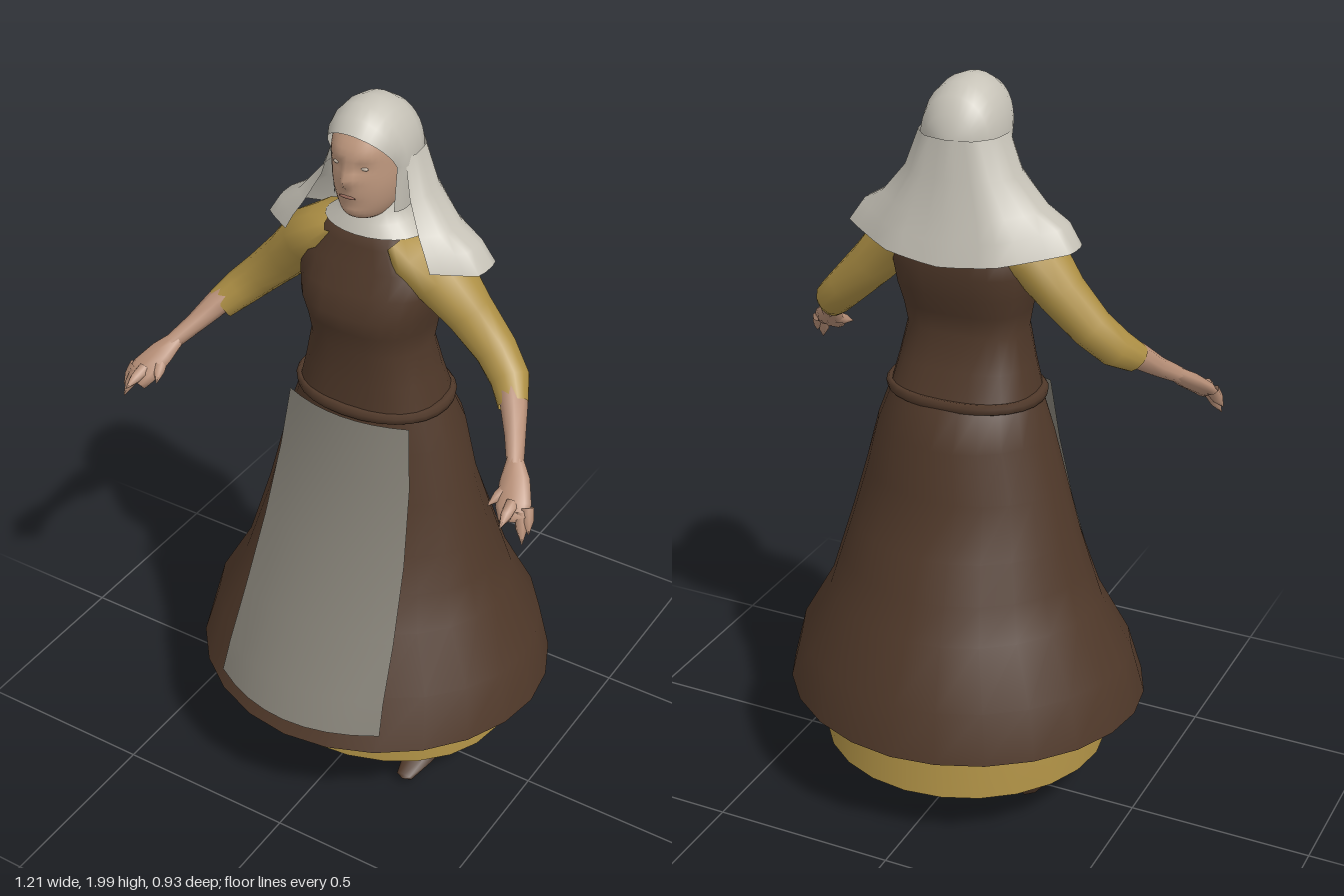
import * as THREE from 'three';

const mat = (name, color) => {
  const m = new THREE.MeshStandardMaterial({ color, side: THREE.DoubleSide });
  m.name = name;
  return m;
};

// Surface through rows of points; each row runs counter-clockwise, rows run upward.
// An optional test(row, column) leaves faces out.
function grid(rows, closed, isHole = () => false) {
  const n = rows[0].length, pos = rows.flat(2), idx = [];
  const cols = closed ? n : n - 1;
  for (let i = 0; i < rows.length - 1; i++) {
    for (let j = 0; j < cols; j++) {
      if (isHole(i, j)) continue;
      const k = (j + 1) % n;
      const a = i * n + j, b = i * n + k, c = (i + 1) * n + k, d = (i + 1) * n + j;
      idx.push(a, b, c, a, c, d);
    }
  }
  const g = new THREE.BufferGeometry();
  g.setAttribute('position', new THREE.Float32BufferAttribute(pos, 3));
  g.setIndex(idx);
  g.computeVertexNormals();
  return g;
}

// Upright body from rings [y, half width, front z, back z]; power below 1 squares the section
function loft(rings, segs = 24, power = 1, isHole) {
  const soft = v => Math.sign(v) * Math.abs(v) ** power;
  return grid(rings.map(([y, rx, zf, zb]) => Array.from({ length: segs }, (_, j) => {
    const t = (j / segs) * Math.PI * 2, c = soft(Math.cos(t));
    return [rx * soft(Math.sin(t)), y, c > 0 ? zf * c : -zb * c];
  })), true, isHole);
}

// Limb along a path of [x, y, z, radius along ref, radius across]
function limb(path, ref, segs = 10) {
  const p = path.map(q => new THREE.Vector3(q[0], q[1], q[2]));
  return grid(path.map((q, i) => {
    const T = p[Math.min(i + 1, p.length - 1)].clone().sub(p[Math.max(i - 1, 0)]).normalize();
    const A = ref.clone().addScaledVector(T, -ref.dot(T)).normalize();
    const B = T.clone().cross(A);
    return Array.from({ length: segs }, (_, j) => {
      const t = (j / segs) * Math.PI * 2;
      return p[i].clone().addScaledVector(A, q[3] * Math.cos(t))
        .addScaledVector(B, (q[4] ?? q[3]) * Math.sin(t)).toArray();
    });
  }), true);
}

export function createModel() {
  const root = new THREE.Group();
  const brown = mat('brown cloth', 0x4f3829);
  const yellow = mat('mustard cloth', 0xae9045);
  const white = mat('white linen', 0xc6c2b7);
  const grey = mat('grey apron cloth', 0x848076);
  const skin = mat('skin', 0xb89078);
  const faceSkin = mat('face skin', 0xc0997f);
  const eyeMat = mat('eye', 0xc4b6a6);
  const lipMat = mat('lips', 0x96695a);
  const add = (name, geo, m, parent = root) => {
    const mesh = new THREE.Mesh(geo, m);
    mesh.name = name;
    parent.add(mesh);
  };

  // Skirts; the overskirt is open behind the apron
  add('overskirt', loft([
    [0.31, 0.495, 0.465, -0.465], [0.45, 0.46, 0.395, -0.44], [0.6, 0.375, 0.315, -0.365],
    [0.7, 0.345, 0.265, -0.325], [0.8, 0.315, 0.222, -0.285], [0.94, 0.278, 0.187, -0.225],
    [1.08, 0.24, 0.165, -0.22], [1.18, 0.205, 0.155, -0.16],
  ], 24, 1.04, (i, j) => i > 0 && i < 5 && (j < 2 || j > 21)), brown);
  add('underskirt', loft([
    [0.155, 0.39, 0.32, -0.385], [0.31, 0.375, 0.315, -0.37], [0.5, 0.345, 0.265, -0.34],
    [0.7, 0.29, 0.18, -0.26], [1.0, 0.2, 0.13, -0.17],
  ]), yellow);

  // Apron: curved sheet from rows [y, half width, centre z, edge drop]
  add('apron', grid([
    [0.365, 0.25, 0.468, 0.08], [0.45, 0.243, 0.428, 0.07], [0.6, 0.232, 0.345, 0.055],
    [0.8, 0.215, 0.257, 0.045], [1.0, 0.196, 0.195, 0.038], [1.17, 0.178, 0.172, 0.04],
  ].map(([y, w, z, drop]) => Array.from({ length: 9 }, (_, j) => {
    const u = j / 4 - 1;
    return [u * w, y, z - drop * u * u];
  })), false), grey);

  // Waistband: a narrow rolled ring
  add('waistband', loft([
    [1.165, 0.203, 0.152, -0.155], [1.17, 0.212, 0.164, -0.163], [1.186, 0.215, 0.166, -0.166],
    [1.196, 0.208, 0.158, -0.158], [1.192, 0.185, 0.14, -0.14],
  ], 28, 0.92), brown);

  // Bodice
  add('bodice', loft([
    [1.17, 0.2, 0.15, -0.155], [1.26, 0.177, 0.143, -0.12], [1.35, 0.157, 0.143, -0.092],
    [1.41, 0.166, 0.154, -0.108], [1.46, 0.18, 0.165, -0.122], [1.52, 0.19, 0.145, -0.133],
    [1.58, 0.185, 0.118, -0.132], [1.63, 0.14, 0.098, -0.115], [1.672, 0.105, 0.085, -0.09], [1.672, 0, 0, 0],
  ], 24, 0.78), brown);

  // Arms
  const Z = new THREE.Vector3(0, 0, 1);
  for (const s of [1, -1]) {
    const arm = new THREE.Group();
    arm.name = s > 0 ? 'leftArm' : 'rightArm';
    root.add(arm);
    const m = path => path.map(([x, ...r]) => [s * x, ...r]);
    add('sleeve', limb(m([
      [0.09, 1.645, 0, 0.094, 0.025], [0.13, 1.605, 0, 0.106, 0.062], [0.195, 1.555, 0, 0.092, 0.072],
      [0.265, 1.475, -0.005, 0.066, 0.062], [0.345, 1.395, 0, 0.055, 0.054],
      [0.4, 1.342, 0.025, 0.05, 0.05], [0.435, 1.305, 0.07, 0.034, 0.042],
    ]), Z, 12), yellow, arm);
    add('forearm', limb(m([
      [0.4, 1.35, 0.03, 0.034], [0.44, 1.31, 0.075, 0.034], [0.475, 1.265, 0.13, 0.026],
      [0.51, 1.225, 0.19, 0.021],
    ]), Z, 8), skin, arm);
    const across = new THREE.Vector3(s, 0.25, -0.3);
    add('hand', limb(m([
      [0.5, 1.235, 0.175, 0.021, 0.02], [0.523, 1.205, 0.215, 0.038, 0.023],
      [0.547, 1.168, 0.262, 0.045, 0.018], [0.56, 1.145, 0.283, 0.038, 0.012], [0.564, 1.14, 0.288, 0, 0],
    ]), across, 8), skin, arm);
    [
      [[0.58, 1.17, 0.255], [0.602, 1.115, 0.283]],
      [[0.57, 1.16, 0.265], [0.593, 1.092, 0.298]],
      [[0.545, 1.175, 0.265], [0.552, 1.15, 0.338]],
      [[0.515, 1.19, 0.23], [0.49, 1.16, 0.288]],
    ].forEach(([a, b], i) => {
      const mid = a.map((v, k) => v * 0.5 + b[k] * 0.5);
      add(i < 3 ? 'finger' : 'thumb', limb(m([[...a, 0.018], [...mid, 0.015], [...b, 0.001]]), across, 6), skin, arm);
    });
  }

  // Neck and face, with brow, nose, lips and chin raised by a rule
  add('neck', loft([[1.6, 0.065, 0.06, -0.06], [1.76, 0.055, 0.055, -0.05]], 16), skin);
  const faceCurve = new THREE.CatmullRomCurve3([
    [0.04, 1.7, 0.075], [0.058, 1.718, 0.108], [0.075, 1.752, 0.121], [0.086, 1.8, 0.129],
    [0.089, 1.85, 0.13], [0.088, 1.9, 0.129], [0.08, 1.95, 0.1],
  ].map(a => new THREE.Vector3(...a)));
  const face = loft(faceCurve.getPoints(20).map(p => [p.y, p.x, p.z, -0.05]), 40, 0.88);
  const bump = (x, y, cx, cy, sx, sy) => Math.exp(-(((x - cx) / sx) ** 2) - ((y - cy) / sy) ** 2);
  const fp = face.attributes.position;
  for (let i = 0; i < fp.count; i++) {
    const x = Math.abs(fp.getX(i)), y = fp.getY(i), z = fp.getZ(i);
    if (z <= 0) continue;
    fp.setZ(i, z + 0.021 * bump(x, y, 0, 1.822, 0.015, 0.016) + 0.01 * bump(x, y, 0, 1.85, 0.011, 0.022)
      - 0.007 * bump(x, y, 0.036, 1.858, 0.02, 0.014) + 0.003 * bump(x, y, 0.03, 1.884, 0.03, 0.012)
      + 0.005 * bump(x, y, 0, 1.78, 0.026, 0.014) + 0.007 * bump(x, y, 0, 1.735, 0.027, 0.014));
  }
  face.computeVertexNormals();
  add('face', face, faceSkin);
  for (const s of [1, -1]) {
    add('eye', new THREE.SphereGeometry(1, 12, 8).scale(0.013, 0.005, 0.005).translate(s * 0.036, 1.858, 0.114), eyeMat);
  }
  add('mouth', new THREE.SphereGeometry(1, 12, 8).scale(0.024, 0.004, 0.004).translate(0, 1.78, 0.131), lipMat);

  // Hood: arches from the face opening to the back [half width, top y, top z, bottom z]
  const spring = 1.85;
  add('hood', grid([
    [0.092, 1.943, 0.128, 0.055], [0.102, 1.975, 0.1, 0.045], [0.108, 1.994, 0.062, 0.03],
    [0.108, 2.0, 0.015, 0], [0.105, 1.99, -0.035, -0.035], [0.093, 1.965, -0.075, -0.07],
    [0.066, 1.925, -0.103, -0.098], [0.03, 1.88, -0.116, -0.114], [0, spring, -0.118, -0.118],
  ].map(([w, top, zt, zb]) => Array.from({ length: 23 }, (_, j) => {
    const u = (j - 3) / 16;
    if (u < 0 || u > 1) {
      const d = u < 0 ? -u : u - 1;
      return [(u < 0 ? -w : w) * (1 - d * 0.5), spring - d * 0.65, zb];
    }
    const a = u * Math.PI, h = Math.sin(a);
    return [-w * Math.cos(a), spring + (top - spring) * h ** 0.9, zb + (zt - zb) * h];
  })).reverse(), false), white);

  // Veil falling over the shoulders, open in front; half rows of [x, y, z]
  add('veil', grid([
    [[0.207, 1.612, 0.092], [0.302, 1.602, 0.022], [0.302, 1.602, -0.06], [0.15, 1.575, -0.155], [0, 1.56, -0.172]],
    [[0.188, 1.652, 0.085], [0.268, 1.655, 0.024], [0.266, 1.655, -0.055], [0.142, 1.63, -0.143], [0, 1.62, -0.16]],
    [[0.165, 1.69, 0.074], [0.213, 1.69, 0.022], [0.21, 1.69, -0.054], [0.125, 1.68, -0.13], [0, 1.675, -0.146]],
    [[0.125, 1.77, 0.05], [0.148, 1.77, 0.008], [0.143, 1.77, -0.058], [0.09, 1.77, -0.115], [0, 1.77, -0.132]],
    [[0.1, 1.868, 0.032], [0.112, 1.868, 0], [0.104, 1.868, -0.06], [0.064, 1.868, -0.108], [0, 1.868, -0.122]],
  ].map(half => {
    const row = [...half, ...half.slice(0, -1).reverse().map(([x, y, z]) => [-x, y, z])];
    return new THREE.CatmullRomCurve3(row.map(p => new THREE.Vector3(...p)), false, 'catmullrom', 0.2)
      .getPoints(24).map(p => p.toArray());
  }), false), white);

  // Linen wrapped round the neck
  add('neckCloth', loft([
    [1.66, 0.135, 0.096, -0.1], [1.69, 0.1, 0.085, -0.09], [1.715, 0.08, 0.07, -0.08], [1.76, 0.075, 0.055, -0.07],
  ]), white);

  // Shoes: rings from toe to heel
  for (const s of [1, -1]) {
    const x = s * 0.21;
    add(s > 0 ? 'leftShoe' : 'rightShoe', limb([
      [x, 0.03, 0.2, 0, 0], [x, 0.032, 0.19, 0.008, 0.024], [x, 0.05, 0.11, 0.032, 0.046],
      [x, 0.07, 0.02, 0.056, 0.057], [x, 0.07, -0.05, 0.065, 0.054],
      [x, 0.066, -0.08, 0.06, 0.045], [x, 0.066, -0.082, 0, 0],
    ], new THREE.Vector3(0, 1, 0), 8), brown);
  }
  return root;
}
